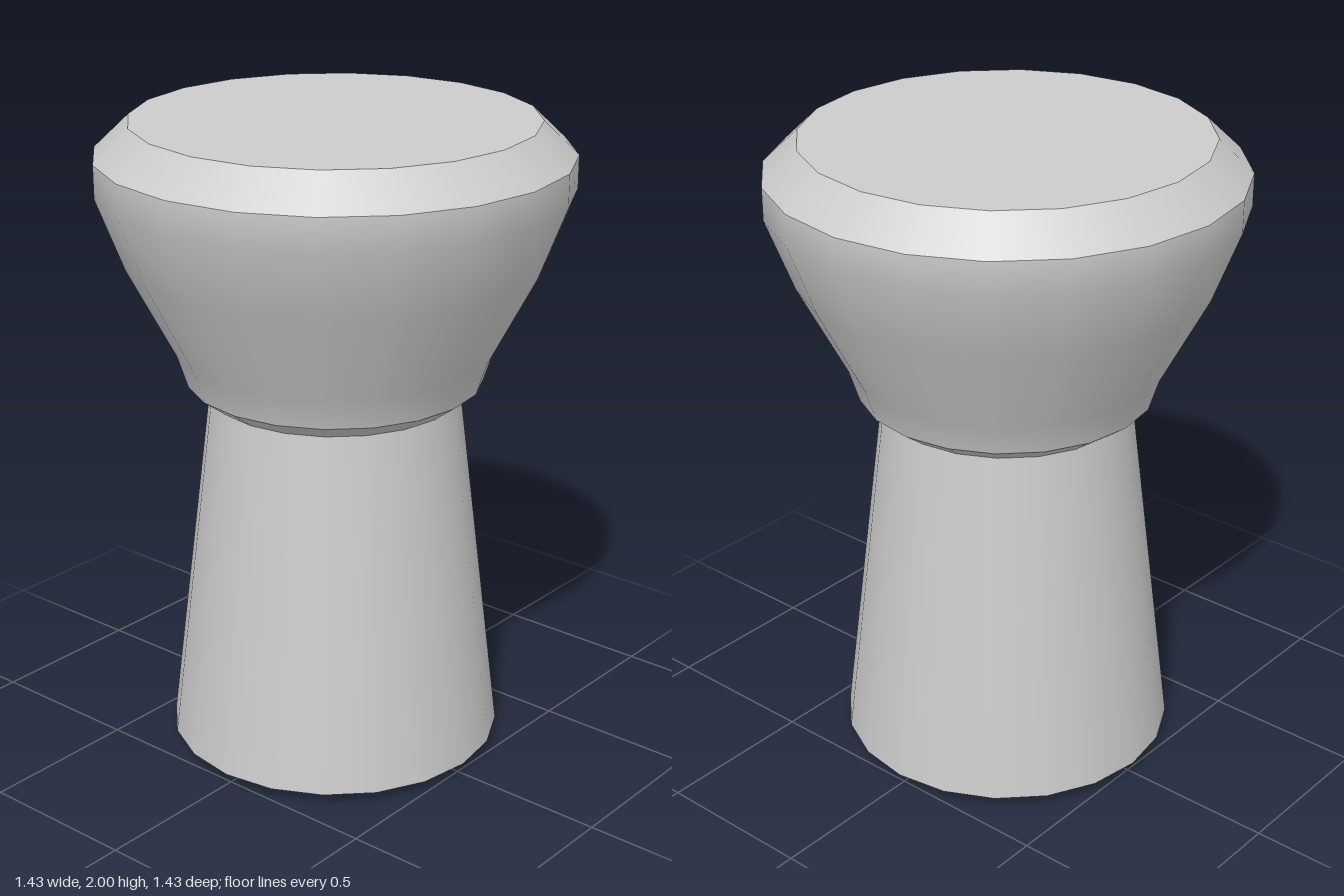
import * as THREE from 'three';

const SIDES = 20;

export function createModel() {
  const model = new THREE.Group();
  model.name = 'gobletDrum';
  const material = new THREE.MeshStandardMaterial({ color: 0xcccccc, side: THREE.DoubleSide });

  // Each band is smooth in itself and meets its neighbours at a sharp edge.
  // Profiles run from bottom to top as [radius, height].
  const band = (name, profile) => {
    const points = profile.map(([r, y]) => new THREE.Vector2(r, y));
    const mesh = new THREE.Mesh(new THREE.LatheGeometry(points, SIDES), material);
    mesh.name = name;
    model.add(mesh);
  };

  // Hollow foot, open underneath
  band('footRim', [[0.46, 0], [0.52, 0.035]]);
  band('stem', [[0.52, 0.035], [0.385, 1.15]]);

  // Flared bowl
  band('bowlCollar', [[0.385, 1.15], [0.453, 1.2]]);
  band('bowl', [[0.453, 1.2], [0.485, 1.3], [0.63, 1.58], [0.713, 1.8], [0.713, 1.9]]);
  band('bowlRim', [[0.713, 1.9], [0.608, 2]]);

  // Flat playing surface
  const head = new THREE.Mesh(new THREE.CircleGeometry(0.608, SIDES), material);
  head.name = 'drumHead';
  head.rotation.x = -Math.PI / 2;
  head.position.y = 2;
  model.add(head);

  return model;
}
